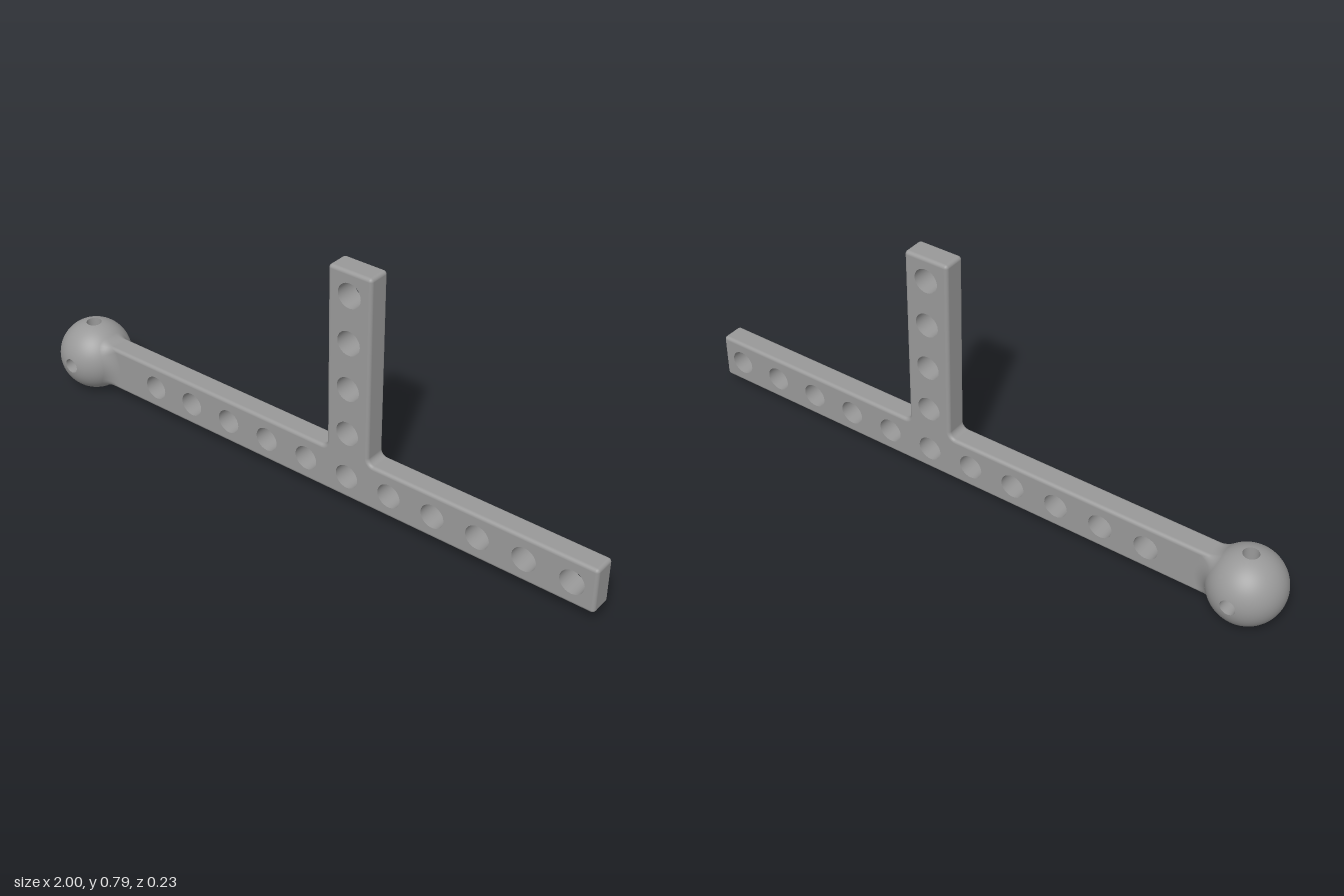
import * as THREE from 'three';

const V = (x, y, z) => new THREE.Vector3(x, y, z);
const PITCH = 0.151, HALF = 0.074, DEPTH = 0.037, EDGE = 0.011;   // bar
const AXIS_Y = 0.113, RISER_X = 0.171, HOLE = 0.039;
const BALL_X = -0.8845, R = 0.1155, BORE = 0.024, FILLET = 0.06;  // ball

// Grid surface: at(i, j) gives [position, normal]; winding follows the normals
function surface(rows, cols, at) {
  const pos = [], nor = [], index = [], P = [], N = [];
  for (let i = 0; i <= rows; i++) {
    for (let j = 0; j <= cols; j++) {
      const [p, n] = at(i, j);
      P.push(p); N.push(n);
      pos.push(p.x, p.y, p.z);
      nor.push(n.x, n.y, n.z);
    }
  }
  const tri = (a, b, c) => {
    const f = P[b].clone().sub(P[a]).cross(P[c].clone().sub(P[a]));
    if (f.length() < 1e-12) return;
    const m = N[a].clone().add(N[b]).add(N[c]);
    f.dot(m) > 0 ? index.push(a, b, c) : index.push(a, c, b);
  };
  for (let i = 0; i < rows; i++) {
    for (let j = 0; j < cols; j++) {
      const a = i * (cols + 1) + j, b = a + cols + 1;
      tri(a, b, a + 1);
      tri(a + 1, b, b + 1);
    }
  }
  const g = new THREE.BufferGeometry();
  g.setAttribute('position', new THREE.Float32BufferAttribute(pos, 3));
  g.setAttribute('normal', new THREE.Float32BufferAttribute(nor, 3));
  g.setIndex(index);
  return g;
}

// Rounded outline of a counter-clockwise right-angled polygon, with outward normals
function outline(corners, convexR, concaveR, steps = 6) {
  const pts = [], k = corners.length;
  const v2 = ([x, y]) => new THREE.Vector2(x, y);
  for (let i = 0; i < k; i++) {
    const c = v2(corners[i]);
    const a = c.clone().sub(v2(corners[(i + k - 1) % k])).normalize();
    const b = v2(corners[(i + 1) % k]).sub(c).normalize();
    const convex = a.cross(b) > 0, r = convex ? convexR : concaveR;
    const centre = c.clone().addScaledVector(a, -r).addScaledVector(b, r);
    for (let s = 0; s <= steps; s++) {
      const t = (s / steps) * Math.PI / 2, cs = Math.cos(t), sn = Math.sin(t);
      const n = new THREE.Vector2(a.y * cs + b.y * sn, -a.x * cs - b.x * sn);
      pts.push({ p: centre.clone().addScaledVector(n, convex ? r : -r), n });
    }
  }
  pts.push(pts[0]);
  return pts;
}

export function createModel() {
  const model = new THREE.Group();
  const mat = new THREE.MeshStandardMaterial({ color: 0x999999 });
  const add = (parent, name, geometry) => {
    const m = new THREE.Mesh(geometry, mat);
    m.name = name;
    parent.add(m);
    return m;
  };
  const group = (name) => {
    const g = new THREE.Group();
    g.name = name;
    model.add(g);
    return g;
  };

  // T-shaped bar: rounded rim, pierced front and back faces, hole walls
  const bar = group('perforatedBar');
  const y0 = AXIS_Y - HALF, y1 = AXIS_Y + HALF, top = AXIS_Y + 4 * PITCH + HALF;
  const tee = outline([
    [-0.83, y0], [1, y0], [1, y1], [RISER_X + HALF, y1],
    [RISER_X + HALF, top], [RISER_X - HALF, top], [RISER_X - HALF, y1], [-0.83, y1],
  ], EDGE, 0.02);

  const arc = 6;
  add(bar, 'barRim', surface(2 * arc + 1, tee.length - 1, (i, j) => {
    const back = i > arc, s = back ? i - arc - 1 : arc - i;
    const t = (s / arc) * Math.PI / 2, sign = back ? -1 : 1;
    const { p, n } = tee[j], inset = EDGE * (1 - Math.cos(t));
    const z = sign * (DEPTH - EDGE + EDGE * Math.sin(t));
    return [V(p.x - n.x * inset, p.y - n.y * inset, z),
      V(n.x * Math.cos(t), n.y * Math.cos(t), sign * Math.sin(t))];
  }));

  const holes = [];
  for (let i = -5; i <= 5; i++) holes.push([RISER_X + i * PITCH, AXIS_Y]);
  for (let i = 1; i <= 4; i++) holes.push([RISER_X, AXIS_Y + i * PITCH]);

  const inner = [];
  for (const { p, n } of tee) {
    const q = p.clone().addScaledVector(n, -EDGE);
    if (!inner.some((o) => o.distanceTo(q) < 1e-5)) inner.push(q);
  }
  const face = new THREE.Shape(inner);
  for (const [x, y] of holes) {
    face.holes.push(new THREE.Path().absarc(x, y, HOLE, 0, Math.PI * 2, true));
  }
  const faceGeo = new THREE.ShapeGeometry(face, 20);
  add(bar, 'frontFace', faceGeo).position.z = DEPTH;
  // The back face is the same sheet, mirrored in depth
  const back = add(bar, 'backFace', faceGeo);
  back.position.z = -DEPTH;
  back.scale.z = -1;

  const wall = surface(1, 40, (i, j) => {
    const a = (j / 40) * Math.PI * 2, c = Math.cos(a), s = Math.sin(a);
    return [V(HOLE * c, HOLE * s, i ? DEPTH : -DEPTH), V(-c, -s, 0)];
  });
  for (const [x, y] of holes) add(bar, 'holeWall', wall).position.set(x, y, 0);

  // Ball: six curved patches, four of them opened by the crossing bores
  const ball = group('ballEnd');
  ball.position.set(BALL_X, AXIS_Y, 0);
  const patch = (bore) => surface(12, 64, (i, j) => {
    const a = (j / 64) * Math.PI * 2, c = Math.cos(a), s = Math.sin(a);
    const m = Math.max(Math.abs(c), Math.abs(s));
    const rim = V(c * bore, s * bore, Math.sqrt(R * R - bore * bore)).divideScalar(R);
    const n = rim.lerp(V(c / m, s / m, 1).normalize(), i / 12).normalize();
    return [n.clone().multiplyScalar(R), n];
  });
  // Half bore, mitred where it meets the other one in the centre
  const bore = surface(1, 64, (i, j) => {
    const a = (j / 64) * Math.PI * 2, c = Math.cos(a), s = Math.sin(a);
    const z = i ? Math.sqrt(R * R - BORE * BORE) : BORE * Math.abs(s);
    return [V(c * BORE, s * BORE, z), V(-c, -s, 0)];
  });
  const open = patch(BORE), closed = patch(0);
  for (let q = 0; q < 4; q++) {
    add(ball, 'ballPatch', open).rotation.x = q * Math.PI / 2;
    add(ball, 'boreWall', bore).rotation.x = q * Math.PI / 2;
  }
  for (const side of [-1, 1]) add(ball, 'ballCap', closed).rotation.y = side * Math.PI / 2;

  // Neck: rolling-ball fillet between the ball and the bar's section
  const section = outline([[-HALF, -DEPTH], [HALF, -DEPTH], [HALF, DEPTH], [-HALF, DEPTH]], EDGE, 0);
  const loop = [];
  section.forEach(({ p, n }, i) => {
    loop.push({ p, n });
    const next = section[i + 1];
    if (!next || p.distanceTo(next.p) < 0.02) return;
    for (let k = 1; k < 10; k++) loop.push({ p: p.clone().lerp(next.p, k / 10), n });
  });
  add(ball, 'neckFillet', surface(10, loop.length - 1, (i, j) => {
    const { p, n } = loop[j];
    const c = V(0, p.x + n.x * FILLET, p.y + n.y * FILLET);
    c.x = Math.sqrt((R + FILLET) ** 2 - c.lengthSq());
    const from = V(0, n.x, n.y), to = c.clone().normalize();
    const angle = from.angleTo(to), t = i / 10;
    const normal = from.multiplyScalar(Math.sin((1 - t) * angle))
      .addScaledVector(to, Math.sin(t * angle)).normalize();
    return [c.addScaledVector(normal, -FILLET), normal];
  }));

  return model;
}
